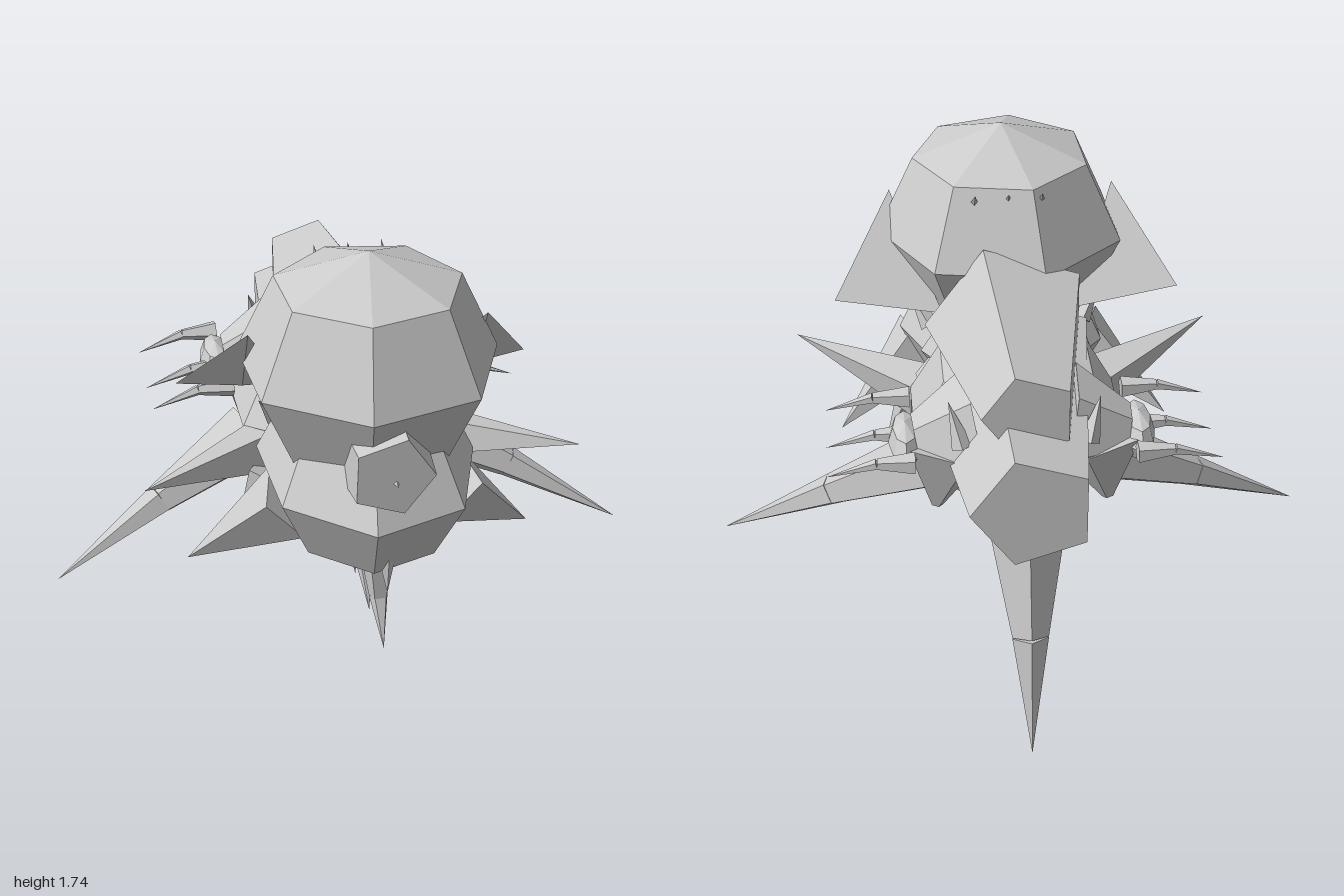
import * as THREE from 'three';

const mat = new THREE.MeshStandardMaterial({ color: 0xcccccc, flatShading: true, side: THREE.DoubleSide });
const V = (p) => new THREE.Vector3(...p);

export function createModel() {
  const group = new THREE.Group();

  function add(name, geometry) {
    const mesh = new THREE.Mesh(geometry, mat);
    mesh.name = name;
    group.add(mesh);
    return mesh;
  }

  // Faceted ellipsoid: four rows, turned slightly about y
  function blob(name, pos, radii, sides = 7, turn = -10) {
    const g = new THREE.SphereGeometry(1, sides, 4);
    g.rotateY(THREE.MathUtils.degToRad(turn - 90)).rotateY(Math.PI);
    // the first column of vertices now sits near the front
    g.scale(...radii);
    return add(name, g).position.set(...pos);
  }

  // Tapered prism between two points
  function prism(name, a, b, ra, rb, sides, roll = 0) {
    const from = V(a), to = V(b), dir = to.clone().sub(from);
    const g = new THREE.CylinderGeometry(rb, ra, dir.length(), sides, 1);
    g.rotateY(roll);
    const mesh = add(name, g);
    mesh.position.copy(from).add(to).multiplyScalar(0.5);
    mesh.quaternion.setFromUnitVectors(new THREE.Vector3(0, 1, 0), dir.normalize());
  }

  // Spike running through a base, an optional joint and a tip
  function spike(name, points, radius, sides = 5) {
    const last = points.length - 1;
    for (let i = 0; i < last; i++) {
      const r0 = radius * (1 - i / last), r1 = radius * (1 - (i + 1) / last);
      prism(name, points[i], points[i + 1], r0, r1, sides);
    }
  }

  // Same spike on both sides
  function pair(name, points, radius, sides) {
    for (const s of [1, -1]) {
      spike((s > 0 ? 'left' : 'right') + name, points.map(([x, y, z]) => [s * x, y, z]), radius, sides);
    }
  }

  // Flat-ended pentagonal prism along z with a corner towards +x
  function pentagon(name, rear, front, rRear, rFront) {
    const pos = [], idx = [];
    for (const [c, r] of [[rear, rRear], [front, rFront]]) {
      for (let i = 0; i < 5; i++) {
        const a = (i / 5) * Math.PI * 2;
        pos.push(r * Math.cos(a), c[0] + r * Math.sin(a), c[1]);
      }
      pos.push(0, c[0], c[1]);
    }
    for (let i = 0; i < 5; i++) {
      const j = (i + 1) % 5;
      idx.push(i, j, 6 + j, i, 6 + j, 6 + i, 5, j, i, 11, 6 + i, 6 + j);
    }
    const g = new THREE.BufferGeometry();
    g.setAttribute('position', new THREE.Float32BufferAttribute(pos, 3));
    g.setIndex(idx);
    g.computeVertexNormals();
    add(name, g);
  }

  // Main masses
  blob('head', [0, 1.365, 0.385], [0.425, 0.375, 0.425]);
  blob('jaw', [0, 0.99, 0.38], [0.36, 0.31, 0.45]);
  blob('neck', [0, 1.06, 0.08], [0.3, 0.19, 0.25], 7);
  blob('thorax', [0, 0.95, -0.16], [0.37, 0.28, 0.44], 8, 22);
  pentagon('tail', [1.0, -0.82], [0.98, 0.05], 0.2, 0.32);
  pentagon('backHump', [1.24, -0.655], [1.18, 0.035], 0.15, 0.285);

  // Snout: a five-sided plug with a small central point
  const snout = add('snout', new THREE.CylinderGeometry(0.135, 0.16, 0.26, 5).rotateX(Math.PI / 2));
  snout.position.set(-0.01, 1.175, 0.66);
  snout.rotation.z = 0.28;
  spike('snoutPoint', [[0, 1.155, 0.78], [0, 1.155, 0.815]], 0.012, 4);

  // Thin triangular fins on the sides of the head
  for (const s of [1, -1]) {
    const pts = [[0.38, 1.5, 0.4], [0.58, 1.22, 0.15], [0.22, 1.17, 0.12], [0.38, 1.25, 0.26]];
    const g = new THREE.BufferGeometry();
    g.setAttribute('position', new THREE.Float32BufferAttribute(pts.flatMap(([x, y, z]) => [s * x, y, z]), 3));
    g.setIndex(s > 0 ? [0, 1, 2, 0, 3, 1, 1, 3, 2, 2, 3, 0] : [0, 2, 1, 0, 1, 3, 1, 2, 3, 2, 0, 3]);
    g.computeVertexNormals();
    add(s > 0 ? 'leftHeadFin' : 'rightHeadFin', g);
  }

  // Jaw and cheek spikes
  pair('JawSpike', [[0.27, 0.9, 0.42], [0.58, 0.63, 0.27]], 0.13, 4);
  pair('CheekSpike', [[0.3, 0.9, 0.07], [0.72, 0.965, 0.37]], 0.095, 4);
  pair('LowerCheekSpike', [[0.3, 0.88, 0.2], [0.42, 0.62, 0.22]], 0.07, 4);
  spike('chinKeel', [[0, 0.8, 0.2], [0.02, 0.585, 0.27]], 0.17, 5);

  // Row of bent fangs under the jaw
  for (const z of [0.55, 0.33, 0.11]) {
    spike('fang', [[0, 0.79, z], [0, 0.6, z + 0.02], [0, 0.445, z + 0.1]], 0.065, 5);
  }
  spike('frontTooth', [[0, 0.83, 0.68], [0, 0.69, 0.69]], 0.03, 4);

  // Long legs and the tail stinger
  pair('Leg', [[0.28, 0.8, -0.2], [0.62, 0.63, -0.11], [1, 0.42, 0]], 0.115, 5);
  spike('stinger', [[0, 0.74, -0.56], [0, 0.42, -0.69], [0, 0, -0.79]], 0.125, 5);

  // Side pods with their mounts and spikes
  for (const s of [1, -1]) {
    const side = s > 0 ? 'left' : 'right';
    blob(side + 'Pod', [s * 0.375, 1.0, -0.39], [0.055, 0.078, 0.135], 8, 0);
    prism(side + 'PodMount', [s * 0.15, 1.03, -0.38], [s * 0.34, 1.0, -0.39], 0.2, 0.09, 6);
    prism(side + 'Hip', [s * 0.24, 1.0, -0.4], [s * 0.28, 0.77, -0.42], 0.16, 0.02, 5);
  }
  for (const [y, z] of [[1.02, -0.16], [1.0, -0.35], [1.03, -0.56]]) {
    pair('PodSpike', [[0.35, y, z], [0.47, y, z + 0.005], [0.63, y - 0.05, z + 0.02]], 0.037, 5);
  }
  pair('BackBristle', [[0.2, 1.06, -0.53], [0.24, 1.2, -0.48]], 0.035, 4);
  pair('NeckBristle', [[0.26, 1.08, 0.2], [0.33, 1.19, 0.26]], 0.035, 4);

  // Small bristles on the back of the head
  for (const x of [-0.11, 0, 0.11]) {
    spike('headBristle', [[x, 1.58, 0.12], [x, 1.63, 0.07]], 0.013, 4);
  }

  return group;
}
